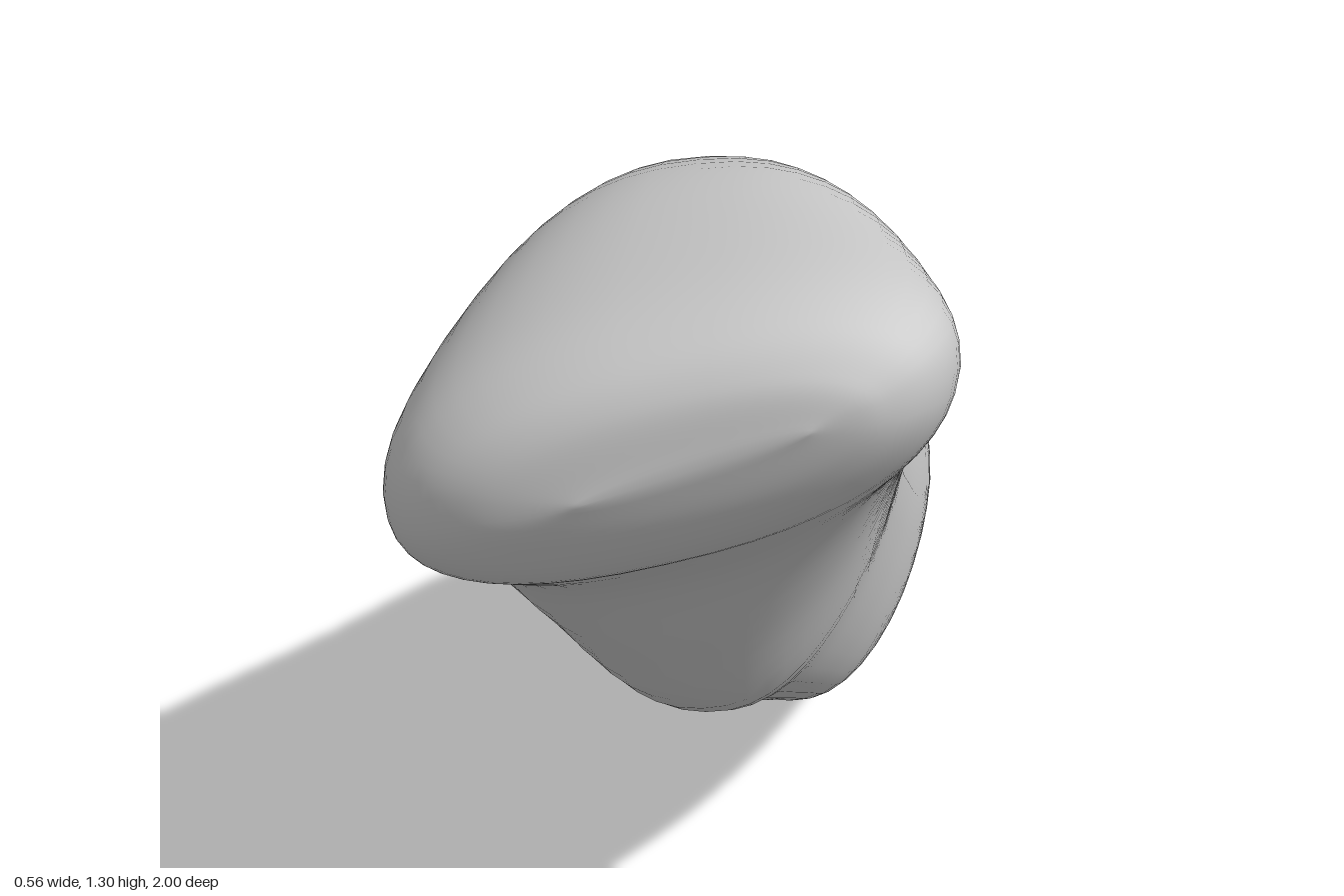
import * as THREE from 'three';
import { mergeVertices } from 'three/addons/utils/BufferGeometryUtils.js';

// Cross-sections from biting edge to root tip:
// upper z, y | lower z, y | x min, x max | tilt | hollow of inner face | pinch of lower half
const SECTIONS = [
  [1.0, 1.205, 1.0, 1.125, -0.08, 0.13, 1, 0, 0],
  [0.982, 1.252, 0.978, 1.068, -0.19, 0.2, 0.64, 0, 0],
  [0.93, 1.287, 0.94, 1.01, -0.257, 0.25, 0.52, 0, 0],
  [0.82, 1.288, 0.88, 0.965, -0.28, 0.275, 0.4, 0.05, 0.05],
  [0.62, 1.245, 0.76, 0.875, -0.264, 0.266, 0.24, 0.06, 0.14],
  [0.4, 1.18, 0.64, 0.735, -0.238, 0.249, 0.12, 0.02, 0.25],
  [0.2, 1.085, 0.5, 0.59, -0.197, 0.232, 0.02, 0, 0.3],
  [0, 0.945, 0.3, 0.48, -0.153, 0.222, -0.08, 0, 0.29],
  [-0.2, 0.808, 0.07, 0.34, -0.107, 0.23, -0.1, 0, 0.26],
  [-0.4, 0.665, -0.16, 0.202, -0.058, 0.241, -0.1, 0, 0.21],
  [-0.6, 0.525, -0.4, 0.1, -0.016, 0.252, -0.1, 0, 0.16],
  [-0.77, 0.367, -0.63, 0.04, 0.027, 0.257, -0.08, 0, 0.1],
  [-0.9, 0.235, -0.83, -0.002, 0.095, 0.25, 0, 0, 0],
  [-0.98, 0.148, -0.957, 0.018, 0.142, 0.225, 0, 0, 0],
  [-1.0, 0.09, -1.0, 0.09, 0.187, 0.187, 0, 0, 0],
];

function createToothGeometry(rings = 84, sides = 48) {
  // Three smooth curves interpolate the nine section values
  const curves = [0, 3, 6].map((k) => new THREE.CatmullRomCurve3(
    SECTIONS.map((s) => new THREE.Vector3(s[k], s[k + 1], s[k + 2])), false, 'catmullrom', 0.5));
  const round = (v) => Math.sign(v) * Math.abs(v) ** 0.87;
  const positions = [];
  const index = [];

  for (let i = 0; i <= rings; i++) {
    // Rings crowd toward both ends to round them
    const f = i / rings;
    const t = 0.5 * f + 0.25 * (1 - Math.cos(Math.PI * f));
    const [zT, yT, zB, yB, xMin, xMax, tilt, hollow, pinch] =
      curves.flatMap((c) => c.getPoint(t).toArray());
    const upright = Math.sqrt(Math.max(0, 1 - tilt * tilt));
    for (let j = 0; j < sides; j++) {
      const a = (j / sides) * Math.PI * 2;
      const u = round(Math.cos(a));
      const w = round(Math.sin(a));
      const low = Math.max(0, -w);
      const v = tilt * u + upright * w + hollow * low * (1 - u * u);
      const x = (xMin + xMax) / 2 + ((xMax - xMin) / 2) * u * (1 - pinch * low);
      positions.push(x, (yT + yB) / 2 + ((yT - yB) / 2) * v, (zT + zB) / 2 + ((zT - zB) / 2) * v);
      if (i < rings) {
        const p = i * sides + j;
        const q = i * sides + ((j + 1) % sides);
        index.push(p, p + sides, q, q, p + sides, q + sides);
      }
    }
  }

  const geometry = new THREE.BufferGeometry();
  geometry.setAttribute('position', new THREE.Float32BufferAttribute(positions, 3));
  geometry.setIndex(index);
  const merged = mergeVertices(geometry, 1e-4);
  merged.computeVertexNormals();
  return merged;
}

export function createModel() {
  const group = new THREE.Group();
  group.name = 'incisorTooth';
  const enamel = new THREE.MeshStandardMaterial({ color: 0xcccccc });
  enamel.name = 'paleGrey';

  // Crown and root in one continuous surface
  const tooth = new THREE.Mesh(createToothGeometry(), enamel);
  tooth.name = 'crownAndRoot';
  group.add(tooth);
  return group;
}
